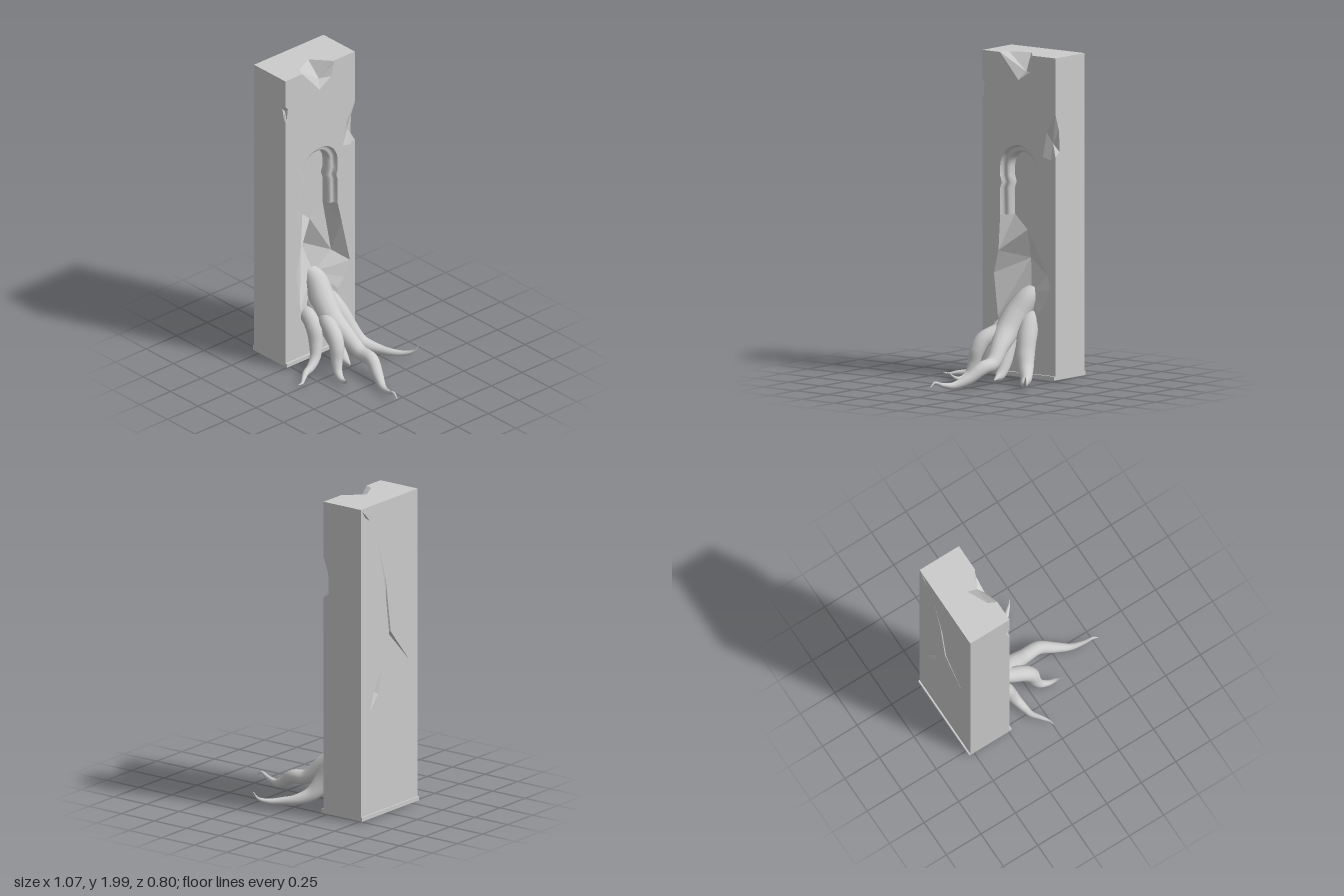
import * as THREE from 'three';

const X0 = -0.53, X1 = -0.245, Z0 = -0.278, Z1 = 0.29, Y0 = 0.02, Y1 = 2;
const stone = new THREE.MeshStandardMaterial({ color: 0xcccccc, flatShading: true, side: THREE.DoubleSide });
const smooth = new THREE.MeshStandardMaterial({ color: 0xcccccc, side: THREE.DoubleSide });
const V = (x, y, z) => new THREE.Vector3(x, y, z);
const v2 = (pts) => pts.map(([a, b]) => new THREE.Vector2(a, b));

// Point on the niche side: u runs towards -z, d is the depth into the pillar
const onFace = (u, y, d = 0) => V(X1 - d, y, -u);

function add(group, name, geometry, material = stone) {
  const mesh = new THREE.Mesh(geometry, material);
  mesh.name = name;
  group.add(mesh);
  return mesh;
}

// Flat wall from an outline, placed in space by map(a, b)
function panel(group, name, outline, holes, map) {
  const shape = new THREE.Shape(v2(outline));
  holes.forEach((h) => shape.holes.push(new THREE.Path(v2(h))));
  const geo = new THREE.ShapeGeometry(shape);
  const p = geo.attributes.position;
  for (let i = 0; i < p.count; i++) {
    const q = map(p.getX(i), p.getY(i));
    p.setXYZ(i, q.x, q.y, q.z);
  }
  geo.computeVertexNormals();
  return add(group, name, geo);
}

function facets(group, name, triangles) {
  const geo = new THREE.BufferGeometry().setFromPoints(triangles.flat());
  geo.computeVertexNormals();
  return add(group, name, geo);
}

// Broken hollow: a fan from the loop to a deeper point
function chip(group, name, loop, centre) {
  return facets(group, name, loop.map((p, i) => [p, loop[(i + 1) % loop.length], centre]));
}

// Keyhole arch line, moved inwards by "inset", from left foot to right foot
function arch(inset) {
  const c = -0.007, r = 0.145 - inset, foot = 1.0;
  const left = [[c - r, foot], [c - r, 1.165], [c - r + 0.012, 1.2], [c - r, 1.24]];
  const pts = [...left];
  for (let i = 0; i <= 20; i++) {
    const a = Math.PI * (1 - i / 20);
    pts.push([c + r * Math.cos(a), 1.295 + r * Math.sin(a)]);
  }
  left.reverse().forEach(([u, y]) => pts.push([2 * c - u, y]));
  return pts;
}

// Moulding swept round the arch: [inset, depth] per profile point
function moulding(group) {
  const profile = [[0, 0], [0.006, 0.022], [0.016, 0.032], [0.028, 0.028], [0.04, 0.034], [0.045, 0.05], [0.045, 0.09]];
  const rows = profile.map(([inset, d]) => arch(inset).map(([u, y]) => onFace(u, y, d)));
  const n = rows[0].length, index = [];
  for (let j = 0; j < rows.length - 1; j++) {
    for (let i = 0; i < n - 1; i++) {
      const a = j * n + i, b = a + n;
      index.push(a, a + 1, b, b, a + 1, b + 1);
    }
  }
  const geo = new THREE.BufferGeometry().setFromPoints(rows.flat());
  geo.setIndex(index);
  geo.computeVertexNormals();
  add(group, 'archMoulding', geo, smooth);
}

// Tapering root: stations are [x, y, z, radius]
function root(group, name, stations) {
  const curve = new THREE.CatmullRomCurve3(stations.map(([x, y, z]) => V(x, y, z)));
  const steps = 56, sides = 14, last = stations.length - 1;
  const geo = new THREE.TubeGeometry(curve, steps, 1, sides);
  const p = geo.attributes.position;
  for (let i = 0; i <= steps; i++) {
    const c = curve.getPointAt(i / steps);
    const t = curve.getUtoTmapping(i / steps) * last;
    const k = Math.min(Math.floor(t), last - 1);
    const r = THREE.MathUtils.lerp(stations[k][3], stations[k + 1][3], t - k);
    for (let j = 0; j <= sides; j++) {
      const id = i * (sides + 1) + j;
      const q = V(0, 0, 0).fromBufferAttribute(p, id).sub(c).multiplyScalar(r).add(c);
      p.setXYZ(id, q.x, q.y, q.z);
    }
  }
  add(group, name, geo, smooth);
}

export function createModel() {
  const model = new THREE.Group();
  const pillar = new THREE.Group();
  pillar.name = 'pillar';
  const roots = new THREE.Group();
  roots.name = 'roots';
  model.add(pillar, roots);
  const uL = -Z1, uR = -Z0;

  // Outlines of the breaks on the niche side
  const topBreak = [[0.1, Y1], [0.105, 1.98], [0.085, 1.9], [-0.01, 1.84], [-0.085, 1.925], [-0.153, Y1]];
  const edgeBreak = [[uR, 1.39], [0.24, 1.37], [0.18, 1.385], [0.21, 1.54], [uR, 1.65]];
  const smallBreak = [[uL, 1.82], [-0.27, 1.8], [-0.28, 1.72], [uL, 1.71]];
  const rim = [[0.138, 1], [0.17, 0.865], [0.238, 0.57], [0.19, 0.47], [0.14, 0.41], [0.1, 0.25],
    [-0.1, 0.25], [-0.17, 0.38], [-0.2, 0.64], [-0.165, 0.78], [-0.152, 1]];

  // Walls and top
  panel(pillar, 'nicheWall', [[uL, Y0], [uR, Y0], ...edgeBreak, [uR, Y1], ...topBreak, [uL, Y1], ...smallBreak],
    [[...arch(0), ...rim.slice(1, -1)]], (u, y) => onFace(u, y));
  panel(pillar, 'frontWall', [[X0, Y0], [X1, Y0], [X1, 1.71], [-0.255, 1.72], [-0.273, 1.8], [X1, 1.82], [X1, Y1], [X0, Y1]],
    [], (x, y) => V(x, y, Z1));
  panel(pillar, 'rearWall', [[-X1, Y0], [-X0, Y0], [-X0, Y1], [-X1, Y1], [-X1, 1.65], [0.28, 1.55], [0.285, 1.42], [-X1, 1.39]],
    [], (a, y) => V(-a, y, Z0));
  panel(pillar, 'top', [[X0, -Z1], [X1, -Z1], [X1, -0.153], [-0.3, -0.125], [-0.36, 0], [X1, 0.1], [X1, -Z0], [X0, -Z0]],
    [], (x, b) => V(x, Y1, -b));

  // Cracked wall behind the niche
  const cracks = [
    [[-0.115, 1.78], [-0.045, 1.51], [0.006, 1.14], [0.2, 0.94], [0.022, 1.155], [-0.03, 1.51]],
    [[-0.07, 0.94], [-0.145, 0.82], [-0.19, 0.69], [-0.105, 0.79]],
    [[-0.265, 1.985], [-0.23, 1.935], [-0.19, 1.91], [-0.225, 1.95]],
  ];
  panel(pillar, 'crackedWall', [[Z0, Y0], [Z1, Y0], [Z1, Y1], [Z0, Y1]], cracks, (z, y) => V(X0, y, z));
  const crackDeep = [[0.007, 1.155], [-0.13, 0.81], [-0.228, 1.943]];
  cracks.forEach((c, i) => chip(pillar, 'crack', c.map(([z, y]) => V(X0, y, z)), V(X0 + 0.02, crackDeep[i][1], crackDeep[i][0])));

  // Hollows behind the broken edges
  chip(pillar, 'topBreak', [...topBreak.map(([u, y]) => onFace(u, y)), V(-0.3, Y1, 0.125), V(-0.36, Y1, 0)].reverse().slice(0),
    V(-0.285, 1.89, -0.02));
  chip(pillar, 'edgeBreak', [...edgeBreak.map(([u, y]) => onFace(u, y)), V(-0.28, 1.55, Z0), V(-0.285, 1.42, Z0)],
    V(-0.272, 1.47, Z0 + 0.04));
  chip(pillar, 'smallBreak', [...smallBreak.map(([u, y]) => onFace(u, y)), V(-0.255, 1.72, Z1), V(-0.273, 1.8, Z1)],
    V(-0.265, 1.78, Z1 - 0.015));

  // Niche
  moulding(pillar);
  panel(pillar, 'nicheBack', [...arch(0.045), [-0.01, 0.91]].reverse(), [], (u, y) => onFace(u, y, 0.09));

  // Broken cavity below the niche
  const R = rim.map(([u, y]) => onFace(u, y));
  const footL = onFace(-0.107, 1, 0.09), footR = onFace(0.093, 1, 0.09), sill = onFace(-0.01, 0.91, 0.09);
  const deep = onFace(-0.03, 0.73, 0.15), side = onFace(0.155, 0.64, 0.08), floor = onFace(0.02, 0.53, 0.09);
  facets(pillar, 'cavity', [
    [R[0], footR, R[1]], [footR, sill, side], [footR, side, R[1]], [R[1], side, R[2]], [sill, deep, side],
    [deep, floor, side], [side, floor, R[2]], [R[2], floor, R[3]], [R[3], floor, R[4]], [R[4], floor, R[5]],
    [R[5], floor, R[6]], [R[6], floor, R[7]], [R[7], floor, deep], [R[7], deep, R[8]], [R[8], deep, R[9]],
    [R[9], deep, sill], [R[9], sill, footL], [R[9], footL, R[10]],
  ]);

  // Base strips on the two broad sides
  for (const x of [X0 - 0.0025, X1 + 0.0075]) {
    const strip = add(pillar, 'baseStrip', new THREE.BoxGeometry(0.015, 0.025, Z1 - Z0));
    strip.position.set(x, Y0 + 0.0125, (Z0 + Z1) / 2);
  }

  // Roots creeping out of the cavity
  root(roots, 'mainRoot', [[-0.36, 0.53, -0.01, 0.05], [-0.3, 0.49, -0.01, 0.072], [-0.22, 0.4, 0.01, 0.082], [-0.13, 0.3, 0.015, 0.075],
    [-0.03, 0.22, -0.01, 0.055], [0.07, 0.135, -0.035, 0.046], [0.17, 0.12, -0.04, 0.043], [0.27, 0.06, -0.005, 0.034],
    [0.36, 0.028, 0.035, 0.022], [0.44, 0.04, 0.058, 0.013], [0.5, 0.06, 0.07, 0.008], [0.53, 0.035, 0.075, 0.003]]);
  root(roots, 'rearRoot', [[-0.34, 0.38, -0.05, 0.05], [-0.26, 0.36, -0.07, 0.062], [-0.19, 0.28, -0.1, 0.062], [-0.13, 0.17, -0.135, 0.058],
    [-0.08, 0.09, -0.18, 0.046], [0, 0.05, -0.245, 0.032], [0.06, 0.042, -0.28, 0.025], [0.13, 0.04, -0.335, 0.017],
    [0.18, 0.06, -0.38, 0.009], [0.2, 0.1, -0.4, 0.003]]);
  root(roots, 'branchRoot', [[-0.2, 0.34, 0.03, 0.04], [-0.1, 0.3, 0.07, 0.05], [-0.01, 0.26, 0.1, 0.05], [0.03, 0.2, 0.115, 0.046],
    [0.045, 0.12, 0.13, 0.035], [0.075, 0.055, 0.145, 0.026], [0.125, 0.032, 0.16, 0.018], [0.175, 0.045, 0.172, 0.01],
    [0.203, 0.075, 0.192, 0.003]]);
  root(roots, 'frontRoot', [[-0.32, 0.3, 0.09, 0.045], [-0.23, 0.32, 0.115, 0.052], [-0.175, 0.27, 0.125, 0.05], [-0.14, 0.17, 0.135, 0.043],
    [-0.115, 0.09, 0.165, 0.033], [-0.095, 0.05, 0.22, 0.026], [-0.08, 0.04, 0.27, 0.02], [-0.04, 0.036, 0.325, 0.014],
    [-0.01, 0.03, 0.365, 0.008], [0, 0.036, 0.4, 0.003]]);
  // Lower trunk where the roots join
  root(roots, 'rootTrunk', [[-0.3, 0.36, 0.02, 0.07], [-0.22, 0.33, 0.03, 0.075], [-0.15, 0.24, 0.02, 0.06], [-0.1, 0.13, 0, 0.045],
    [-0.04, 0.05, -0.01, 0.03], [0.01, 0.03, -0.01, 0.006]]);
  return model;
}
